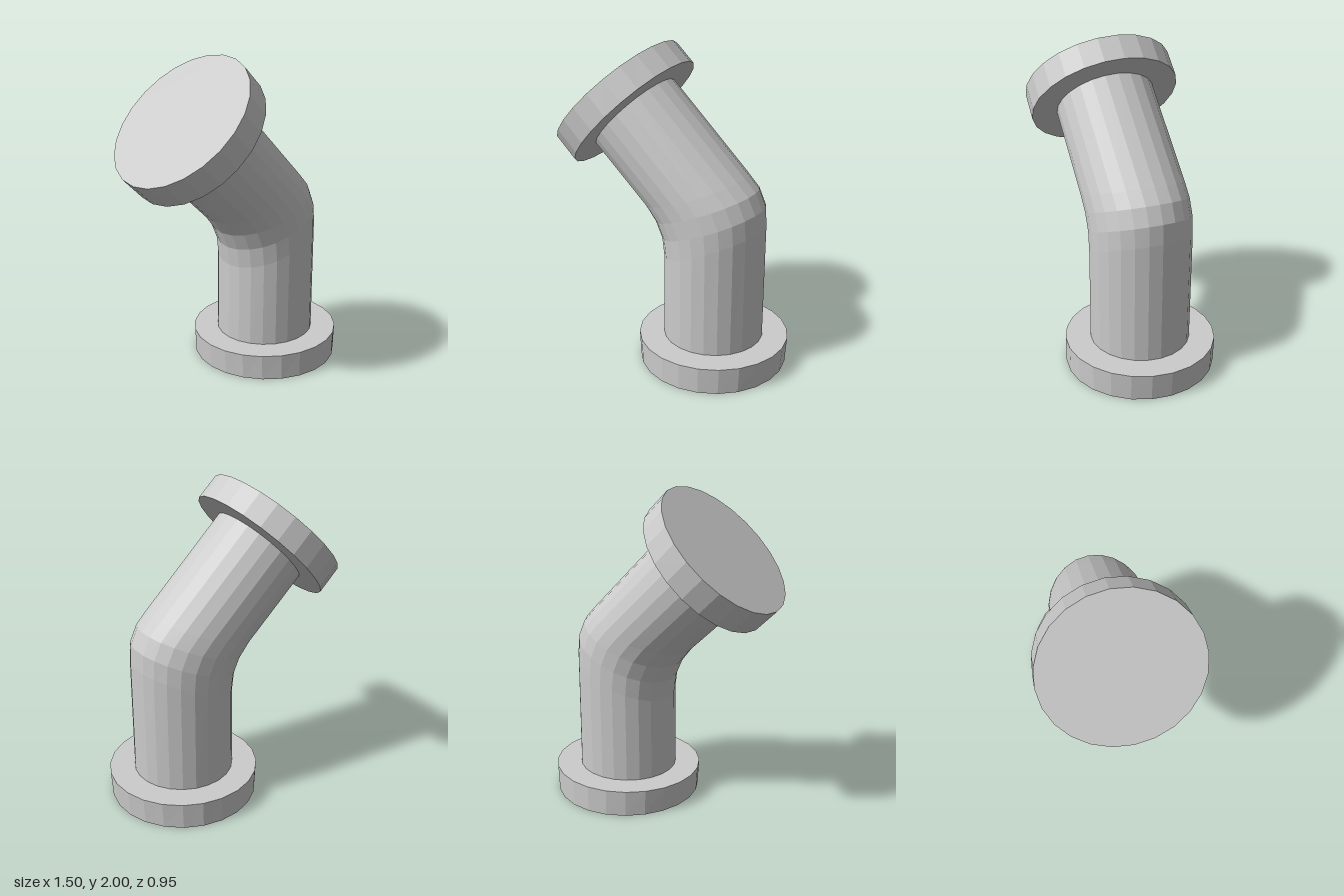
import * as THREE from 'three';

const SIDES = 24;
const material = new THREE.MeshStandardMaterial({ color: 0xcccccc, flatShading: true });

// Skins oval rings, each given by its two silhouette points [x, y] and its half depth in z.
function loft(name, rings, capped) {
  const pos = [], index = [];
  for (const [[x0, y0], [x1, y1], depth] of rings) {
    for (let j = 0; j < SIDES; j++) {
      const a = (j / SIDES) * Math.PI * 2, c = Math.cos(a) / 2;
      pos.push((x0 + x1) / 2 + c * (x1 - x0), (y0 + y1) / 2 + c * (y1 - y0), depth * Math.sin(a));
    }
  }
  for (let i = 0; i < rings.length - 1; i++) {
    for (let j = 0; j < SIDES; j++) {
      const k = (j + 1) % SIDES, a = i * SIDES, b = a + SIDES;
      index.push(a + j, b + j, a + k, b + j, b + k, a + k);
    }
  }
  if (capped) {
    const top = (rings.length - 1) * SIDES;
    for (let j = 1; j < SIDES - 1; j++) {
      index.push(0, j, j + 1, top, top + j + 1, top + j);
    }
  }
  const geometry = new THREE.BufferGeometry();
  geometry.setAttribute('position', new THREE.Float32BufferAttribute(pos, 3));
  geometry.setIndex(index);
  const flat = geometry.toNonIndexed();
  flat.computeVertexNormals();
  const mesh = new THREE.Mesh(flat, material);
  mesh.name = name;
  return mesh;
}

export function createModel() {
  const group = new THREE.Group();
  group.name = 'pipeElbow';

  // Bottom flange, a little wider at its upper rim
  group.add(loft('bottomFlange', [
    [[-0.2, 0], [0.74, 0], 0.473],
    [[-0.21, 0.163], [0.75, 0.17], 0.473],
  ], true));

  // Pipe: upright run, bend with slanted sections, leaning run
  group.add(loft('pipe', [
    [[-0.05, 0.15], [0.588, 0.15], 0.314],
    [[-0.045, 0.675], [0.585, 0.935], 0.314],
    [[-0.06, 0.8], [0.577, 1.055], 0.314],
    [[-0.105, 0.905], [0.53, 1.16], 0.314],
    [[-0.175, 0.998], [0.457, 1.237], 0.314],
    [[-0.523, 1.336], [-0.09, 1.785], 0.314],
  ], true));

  // Top flange, square to the leaning run
  group.add(loft('topFlange', [
    [[-0.623, 1.205], [0.03, 1.885], 0.473],
    [[-0.75, 1.333], [-0.087, 2], 0.473],
  ], true));

  return group;
}
